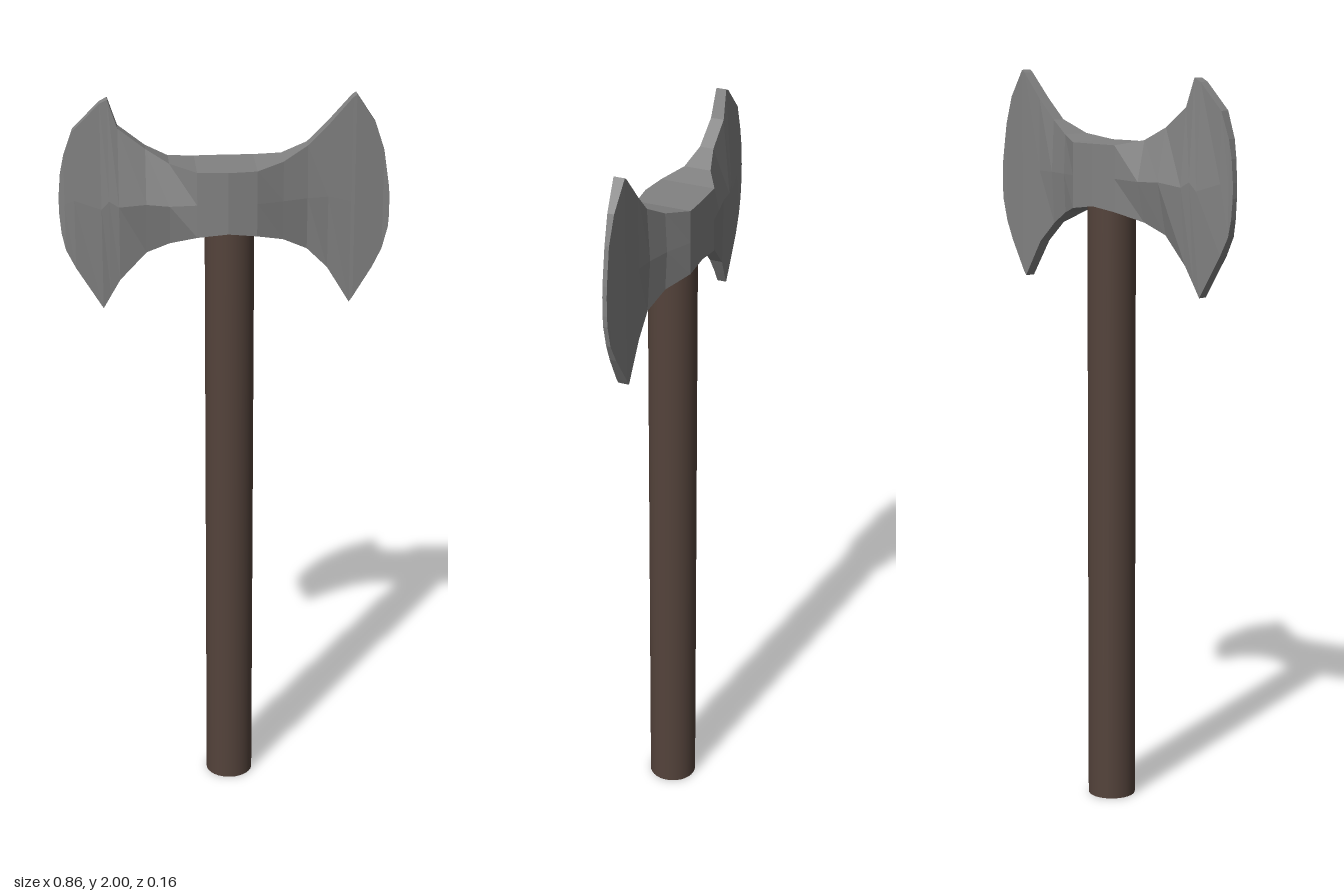
import * as THREE from 'three';

// Stations along the axe head: x, top y, bottom y, rim half thickness, middle half thickness, z offset
const stations = [
  [-0.435, 1.74, 1.70, 0.008, 0.008, 0.0],
  [-0.43, 1.80, 1.645, 0.009, 0.009, 0.001],
  [-0.42, 1.85, 1.60, 0.011, 0.011, 0.003],
  [-0.395, 1.92, 1.55, 0.013, 0.015, 0.003],
  [-0.325, 1.99, 1.435, 0.013, 0.028, 0.001],
  [-0.305, 2.0, 1.47, 0.014, 0.032, 0],
  [-0.28, 1.925, 1.515, 0.018, 0.037, 0],
  [-0.21, 1.87, 1.59, 0.019, 0.05, 0],
  [-0.15, 1.835, 1.62, 0.037, 0.062, 0],
  [-0.08, 1.82, 1.645, 0.075, 0.075, -0.003],
  [0, 1.82, 1.655, 0.08, 0.08, 0],
  [0.075, 1.82, 1.645, 0.075, 0.075, -0.004],
  [0.145, 1.835, 1.625, 0.04, 0.045, 0],
  [0.21, 1.87, 1.59, 0.018, 0.026, -0.002],
  [0.265, 1.925, 1.535, 0.017, 0.018, -0.004],
  [0.325, 1.993, 1.435, 0.015, 0.015, -0.005],
  [0.335, 2.0, 1.45, 0.015, 0.015, -0.005],
  [0.385, 1.925, 1.53, 0.009, 0.009, -0.005],
  [0.41, 1.85, 1.58, 0.006, 0.006, -0.005],
  [0.425, 1.75, 1.64, 0.006, 0.006, -0.005],
  [0.427, 1.72, 1.67, 0.006, 0.006, -0.005],
];

// Six-point cross-sections lofted along x and closed at both ends
function headGeometry() {
  const positions = [];
  const index = [];
  for (const [x, top, bottom, rim, mid, cz] of stations) {
    const my = (top + bottom) / 2;
    positions.push(x, top, cz + rim, x, my, cz + mid, x, bottom, cz + rim);
    positions.push(x, bottom, cz - rim, x, my, cz - mid, x, top, cz - rim);
  }
  const last = (stations.length - 1) * 6;
  for (let s = 0; s < last; s += 6) {
    for (let k = 0; k < 6; k++) {
      const n = (k + 1) % 6;
      const a = s + k, b = s + n, c = s + 6 + n, d = s + 6 + k;
      index.push(a, b, c, a, c, d);
    }
  }
  for (let k = 1; k < 5; k++) {
    index.push(0, k + 1, k);
    index.push(last, last + k, last + k + 1);
  }
  const indexed = new THREE.BufferGeometry();
  indexed.setAttribute('position', new THREE.Float32BufferAttribute(positions, 3));
  indexed.setIndex(index);
  // Separate corners give every facet its own flat normal
  const faceted = indexed.toNonIndexed();
  faceted.computeVertexNormals();
  return faceted;
}

export function createModel() {
  const steel = new THREE.MeshStandardMaterial({ color: 0x828282 });
  steel.name = 'grey steel';
  const wood = new THREE.MeshStandardMaterial({ color: 0x54433b });
  wood.name = 'dark wood';

  const model = new THREE.Group();
  model.name = 'doubleAxe';

  // Round shaft, its top end just inside the head
  const height = 1.67;
  const handle = new THREE.Mesh(new THREE.CylinderGeometry(0.065, 0.065, height, 32), wood);
  handle.name = 'handle';
  handle.position.set(0.008, height / 2, 0);
  model.add(handle);

  // Double-bladed head
  const head = new THREE.Mesh(headGeometry(), steel);
  head.name = 'axeHead';
  model.add(head);

  return model;
}
